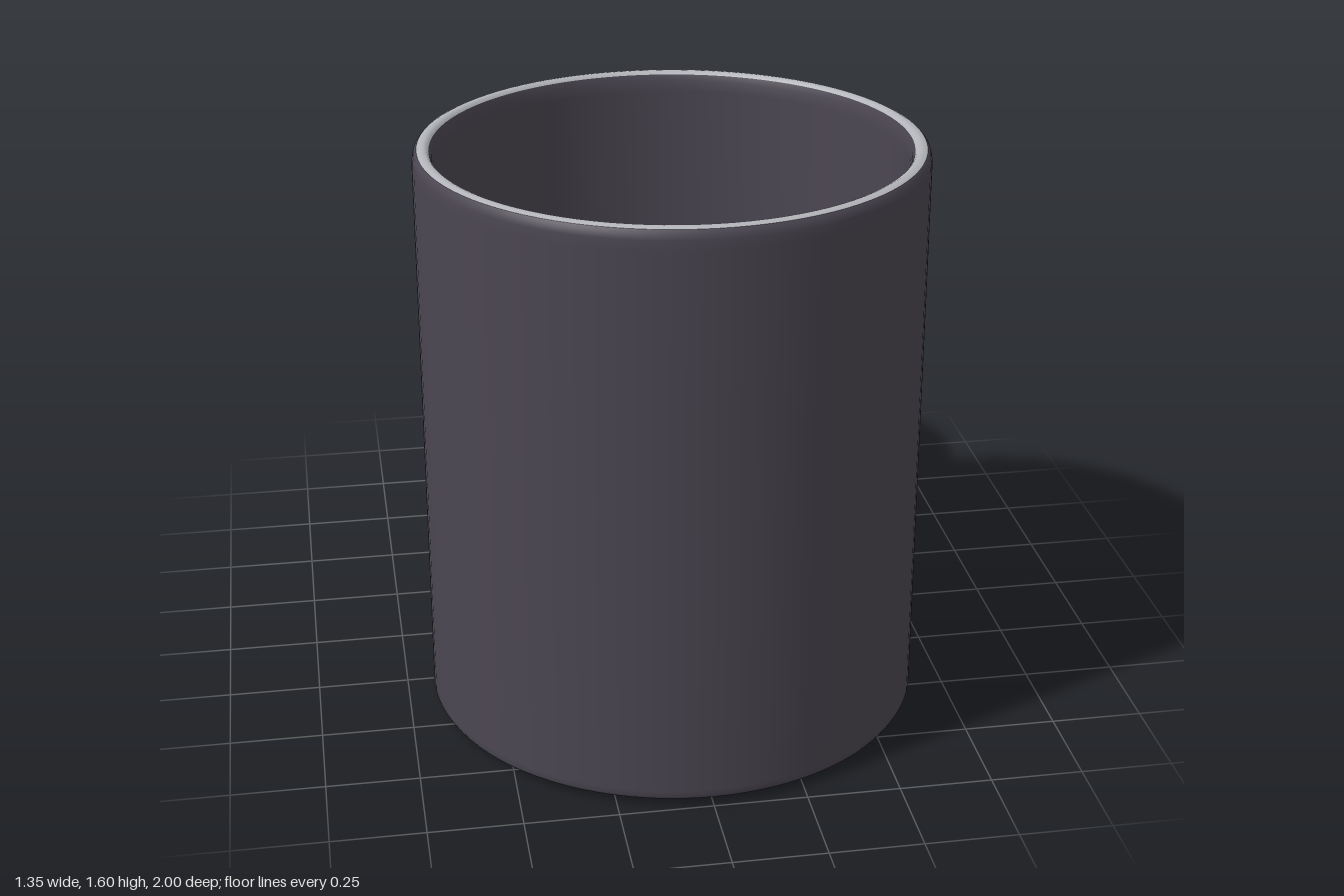
import * as THREE from 'three';

const dark = new THREE.MeshStandardMaterial({ color: 0x4b4651 });
dark.name = 'dark glaze';
const grey = new THREE.MeshStandardMaterial({ color: 0xb3b5ba });
grey.name = 'pale grey glaze';

// Revolved section; profile runs from the underside, up the outside, then down the inside
function lathe(name, profile, material) {
  const points = profile.map(([r, y]) => new THREE.Vector2(r, y));
  const mesh = new THREE.Mesh(new THREE.LatheGeometry(points, 96), material);
  mesh.name = name;
  return mesh;
}

// Handle loft between paired outer and inner outlines, each entry [z, y]
function handleGeometry(outer, inner, steps, sides) {
  const [outerCurve, innerCurve] = [outer, inner].map(
    (line) => new THREE.CatmullRomCurve3(line.map(([z, y]) => new THREE.Vector3(0, y, z))));
  const positions = [], indices = [];
  const round = (v) => Math.sign(v) * Math.abs(v) ** 0.8;
  for (let i = 0; i <= steps; i++) {
    const t = i / steps;
    const o = outerCurve.getPoint(t), n = innerCurve.getPoint(t);
    const halfWidth = 0.094 + 0.012 * Math.abs(2 * t - 1) ** 8;
    for (let j = 0; j < sides; j++) {
      const a = (j / sides) * Math.PI * 2;
      const p = n.clone().lerp(o, 0.5 + 0.5 * round(Math.sin(a)));
      positions.push(round(Math.cos(a)) * halfWidth, p.y, p.z);
      if (i < steps) {
        const k = (j + 1) % sides, b = i * sides, c = b + sides;
        indices.push(b + j, c + j, b + k, b + k, c + j, c + k);
      }
    }
  }
  const geometry = new THREE.BufferGeometry();
  geometry.setAttribute('position', new THREE.Float32BufferAttribute(positions, 3));
  geometry.setIndex(indices);
  geometry.computeVertexNormals();
  return geometry;
}

export function createModel() {
  const model = new THREE.Group();
  model.name = 'mug';

  // Cup leans very slightly backwards
  const cup = new THREE.Group();
  cup.name = 'cup';
  cup.position.set(0, 0.01, 0.32);
  cup.rotation.x = -0.0135;
  model.add(cup);

  cup.add(
    lathe('undersideSpot', [[0, 0.062], [0.165, 0.06]], grey),
    lathe('underside', [[0.165, 0.06], [0.4, 0.046], [0.56, 0.026], [0.63, 0.005], [0.65, 0]], dark),
    lathe('footRing', [[0.65, 0], [0.662, 0]], grey),
    lathe('outerWall', [[0.662, 0], [0.672, 0.005], [0.677, 0.014], [0.677, 0.03], [0.677, 0.8],
      [0.677, 1.53], [0.676, 1.557], [0.672, 1.572], [0.664, 1.581]], dark),
    lathe('rim', [[0.664, 1.581], [0.655, 1.585], [0.645, 1.586], [0.637, 1.583], [0.632, 1.577]], grey),
    lathe('innerWall', [[0.632, 1.577], [0.625, 1.56], [0.622, 1.53], [0.622, 1.098]], dark),
    lathe('innerLining', [[0.622, 1.098], [0.622, 0.16], [0.615, 0.125], [0.595, 0.105], [0.56, 0.1], [0, 0.1]], grey),
  );

  // Handle, flared where it meets the wall
  const outer = [
    [-0.33, 1.41], [-0.385, 1.432], [-0.46, 1.447], [-0.58, 1.453], [-0.72, 1.413],
    [-0.83, 1.31], [-0.95, 1.06], [-1, 0.79], [-0.955, 0.55], [-0.84, 0.33],
    [-0.72, 0.228], [-0.58, 0.187], [-0.46, 0.205], [-0.385, 0.235], [-0.33, 0.25],
  ];
  const inner = [
    [-0.33, 1.1], [-0.385, 1.175], [-0.45, 1.255], [-0.585, 1.305], [-0.695, 1.272],
    [-0.775, 1.165], [-0.845, 0.98], [-0.865, 0.8], [-0.84, 0.62], [-0.765, 0.45],
    [-0.69, 0.368], [-0.585, 0.335], [-0.465, 0.368], [-0.385, 0.465], [-0.33, 0.55],
  ];
  const handle = new THREE.Mesh(handleGeometry(outer, inner, 96, 28), dark);
  handle.name = 'handle';
  model.add(handle);

  return model;
}
